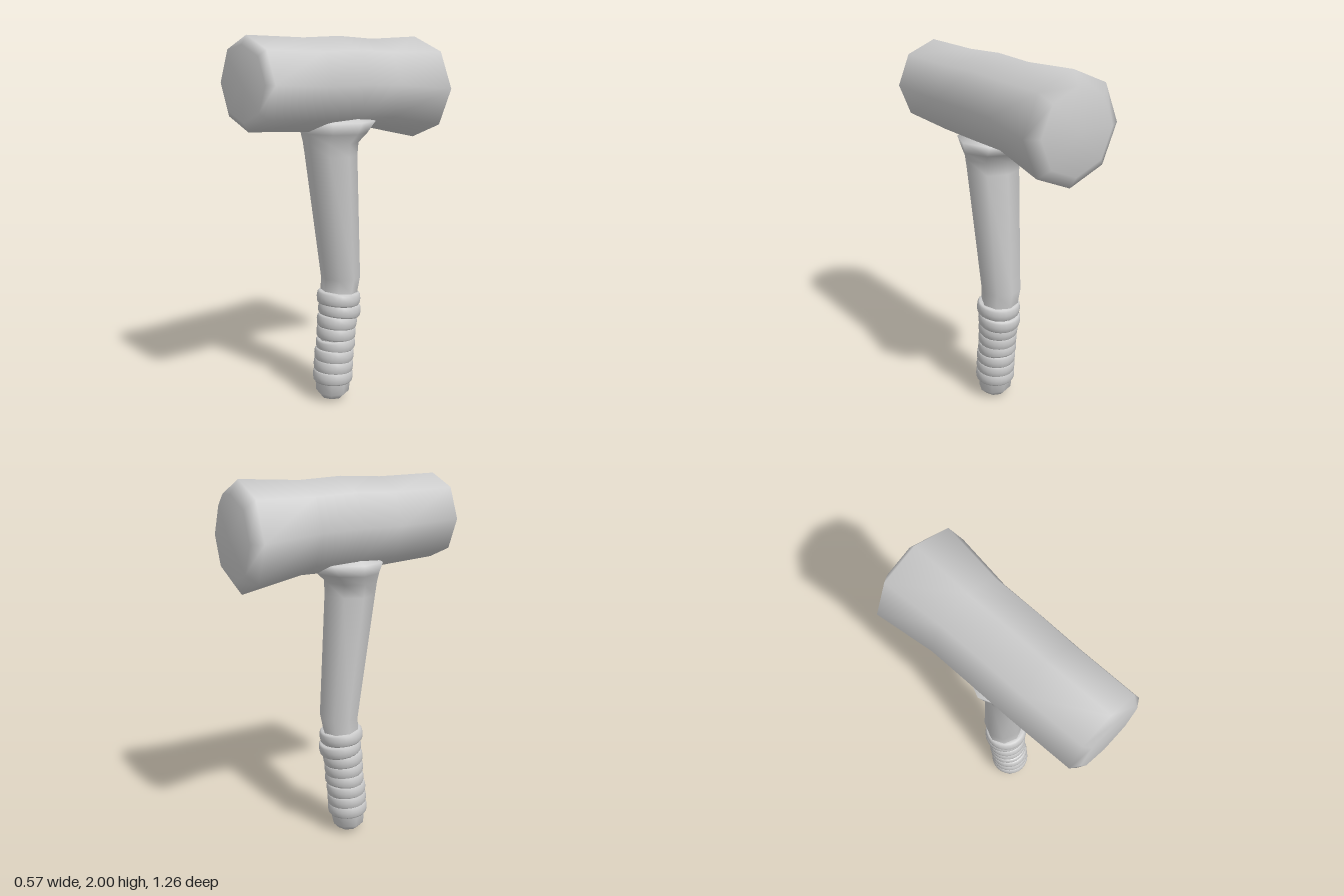
import * as THREE from 'three';
import { mergeVertices } from 'three/addons/utils/BufferGeometryUtils.js';

const SIDES = 8;
const material = new THREE.MeshStandardMaterial({ color: 0xcccccc });

// Joins eight-sided cross-sections into one smooth closed skin.
// place(section, cos, sin) returns one corner of a section.
function loft(sections, place) {
  const positions = [];
  const index = [];
  sections.forEach((section, i) => {
    for (let j = 0; j < SIDES; j++) {
      const angle = (j / SIDES) * Math.PI * 2;
      positions.push(...place(section, Math.cos(angle), Math.sin(angle)));
      if (i === sections.length - 1) continue;
      const k = (j + 1) % SIDES;
      const a = i * SIDES + j, b = i * SIDES + k;
      index.push(a, b, a + SIDES, b, b + SIDES, a + SIDES);
    }
  });
  let geometry = new THREE.BufferGeometry();
  geometry.setAttribute('position', new THREE.Float32BufferAttribute(positions, 3));
  geometry.setIndex(index);
  geometry = mergeVertices(geometry);
  geometry.computeVertexNormals();
  return geometry;
}

function addMesh(parent, name, geometry) {
  const mesh = new THREE.Mesh(geometry, material);
  mesh.name = name;
  parent.add(mesh);
  return mesh;
}

export function createModel() {
  const model = new THREE.Group();
  model.name = 'mallet';

  // Head, back to front: z, centre x, centre y, half width, half height
  const headSections = [
    [-0.63, 0, 1.715, 0, 0],
    [-0.615, 0, 1.715, 0.215, 0.215],
    [-0.57, 0, 1.718, 0.285, 0.282],
    [-0.24, 0, 1.745, 0.24, 0.24],
    [0, 0.005, 1.752, 0.238, 0.246],
    [0.24, 0.01, 1.751, 0.235, 0.237],
    [0.595, 0.02, 1.767, 0.23, 0.23],
    [0.623, 0.02, 1.767, 0.185, 0.185],
    [0.626, 0.02, 1.767, 0, 0],
  ];
  addMesh(model, 'head', loft(headSections, ([z, cx, cy, rx, ry], c, s) =>
    [cx + rx * c, cy + ry * s, z]));

  // Handle, bottom to top: y, centre x, centre z, half width, half depth
  const handleSections = [
    [0, 0, 0.046, 0, 0],
    [0.012, 0, 0.046, 0.06, 0.06],
    [0.045, 0, 0.045, 0.095, 0.09],
    [0.12, 0, 0.042, 0.1, 0.098],
    [0.62, 0, -0.004, 0.105, 0.1],
    [0.7, 0, -0.015, 0.112, 0.106],
    [1.38, 0.003, 0.055, 0.147, 0.135],
    [1.45, 0.003, 0.058, 0.156, 0.141],
    [1.5, 0.003, 0.035, 0.188, 0.17],
    [1.56, 0.003, 0.02, 0.21, 0.21],
    [1.66, 0.003, 0.02, 0, 0],
  ];
  addMesh(model, 'handle', loft(handleSections, ([y, cx, cz, rx, rz], c, s) =>
    [cx + rx * c, y, cz - rz * s]));

  // Grip wrap: eight rounded bands, each a little out of line
  const bandProfile = [
    [0.085, -0.036], [0.104, -0.035], [0.112, -0.025], [0.115, 0],
    [0.112, 0.025], [0.104, 0.035], [0.085, 0.036],
  ].map(([r, y]) => new THREE.Vector2(r, y));
  const bandGeometry = new THREE.LatheGeometry(bandProfile, 24);
  const grip = new THREE.Group();
  grip.name = 'grip';
  model.add(grip);
  // y, centre x, centre z, tilt, scale
  const bands = [
    [0.14, 0, 0.042, -0.04, 0.98],
    [0.2, 0, 0.038, -0.08, 0.97],
    [0.262, 0, 0.033, -0.06, 0.97],
    [0.325, 0, 0.022, 0.08, 0.96],
    [0.388, 0, 0.018, -0.09, 0.96],
    [0.452, 0, 0.012, -0.1, 0.98],
    [0.517, 0.004, -0.004, -0.15, 1.04],
    [0.585, 0.004, 0.003, -0.1, 1.06],
  ];
  bands.forEach(([y, x, z, tilt, scale], i) => {
    const band = addMesh(grip, `gripBand${i + 1}`, bandGeometry);
    band.position.set(x, y, z);
    band.rotation.x = tilt;
    band.scale.set(scale, 1, scale);
  });

  return model;
}
